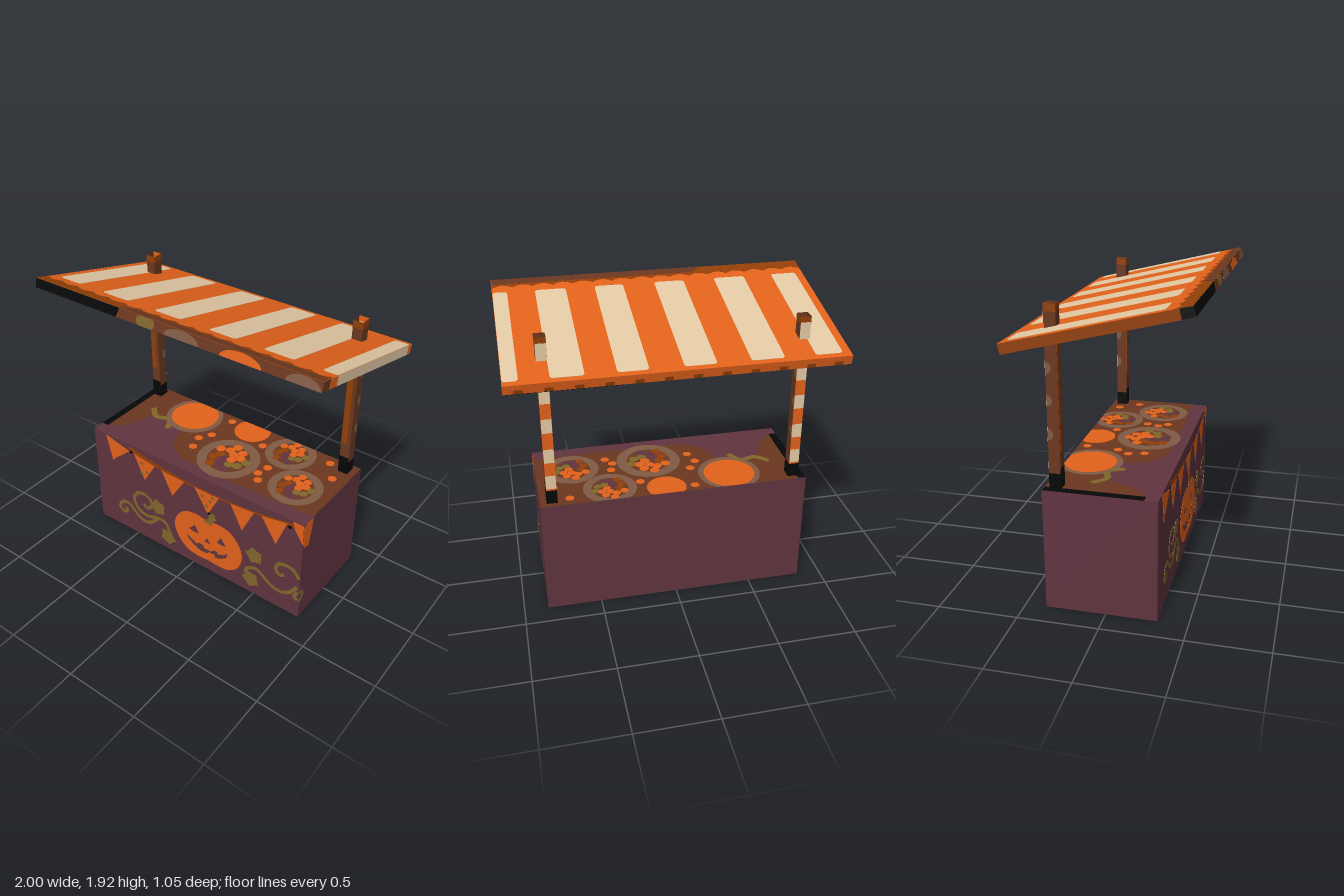
import * as THREE from 'three';

const mat = (name, color, side = THREE.FrontSide) => {
  const m = new THREE.MeshStandardMaterial({ color, side });
  m.name = name;
  return m;
};

export function createModel() {
  const purple = mat('plum', 0x61343f, THREE.DoubleSide);
  const orange = mat('orange', 0xe3621b, THREE.DoubleSide);
  const cream = mat('cream', 0xe4caa5);
  const olive = mat('olive', 0x80662b);
  const brown = mat('brown', 0x6b371f, THREE.DoubleSide);
  const rust = mat('rust', 0x933f08, THREE.DoubleSide);
  const black = mat('black', 0x060708);
  const tan = mat('tan', 0x805a45);
  const burntOrange = mat('burntOrange', 0xa64610);
  const sand = mat('sand', 0xb59073);

  const root = new THREE.Group();
  const group = (name, parent = root) => {
    const g = new THREE.Group();
    g.name = name;
    parent.add(g);
    return g;
  };
  const mesh = (name, geo, material, parent) => {
    const m = new THREE.Mesh(geo, material);
    m.name = name;
    parent.add(m);
    return m;
  };
  const box = (name, size, pos, material, parent) => {
    const m = mesh(name, new THREE.BoxGeometry(...size), material, parent);
    m.position.set(...pos);
    return m;
  };
  // Box with some sides left out (order: +x -x +y -y +z -z)
  const openBox = (name, size, pos, material, parent, missing) => {
    const m = box(name, size, pos, material, parent);
    m.geometry.groups = m.geometry.groups.filter((g) => !missing.includes(g.materialIndex));
    return m;
  };
  // Thin painted plate, centred on its own plane
  const plate = (name, shape, material, parent, depth = 0.003) => {
    const geo = new THREE.ExtrudeGeometry(shape, { depth, bevelEnabled: false, curveSegments: 8 });
    geo.translate(0, 0, -depth / 2);
    return mesh(name, geo, material, parent);
  };
  const v2 = (pts) => pts.map(([x, y]) => new THREE.Vector2(x, y));
  const poly = (pts) => new THREE.Shape(v2(pts));
  const smooth = (pts) => new THREE.Shape(new THREE.SplineCurve(v2([...pts, pts[0]])).getPoints(64));
  // Disc cut off at a lower limit
  const disc = (x, y, r, min = -Infinity) => poly(Array.from({ length: 28 }, (_, i) => {
    const a = i * Math.PI / 14;
    return [x + r * Math.cos(a), Math.max(min, y + r * Math.sin(a))];
  }));
  const roundRect = (x0, x1, y0, y1, r = 0.02) => {
    const s = new THREE.Shape();
    s.absarc(x0 + r, y0 + r, r, Math.PI, Math.PI * 1.5);
    s.absarc(x1 - r, y0 + r, r, -Math.PI / 2, 0);
    s.absarc(x1 - r, y1 - r, r, 0, Math.PI / 2);
    s.absarc(x0 + r, y1 - r, r, Math.PI / 2, Math.PI);
    return s;
  };
  // Ribbon of constant width along a curve
  const stroke = (pts, w) => {
    const curve = new THREE.SplineCurve(v2(pts));
    const a = [], b = [];
    for (let i = 0; i <= 50; i++) {
      const p = curve.getPoint(i / 50), t = curve.getTangent(i / 50);
      a.push([p.x - t.y * w / 2, p.y + t.x * w / 2]);
      b.unshift([p.x + t.y * w / 2, p.y - t.x * w / 2]);
    }
    return poly([...a, ...b]);
  };

  // Counter: open-bottomed box
  const X = 0.846, TOP = 0.77, FRONT = 0.315, BACK = -0.37;
  const counter = group('counter');
  openBox('counterBody', [X * 2, TOP, FRONT - BACK], [0, TOP / 2, (FRONT + BACK) / 2], Array(6).fill(purple), counter, [3]);

  // Front paintings
  const art = group('frontPainting', counter);
  art.position.z = FRONT;
  const pumpkin = smooth([[.125, .43], [.2, .445], [.3, .43], [.375, .36], [.405, .26], [.37, .15], [.29, .09],
    [.2, .08], [.125, .085], [.04, .08], [-.05, .1], [-.12, .17], [-.155, .27], [-.12, .37], [-.05, .43], [.04, .445]]);
  for (const hole of [
    [[-.03, .29], [.01, .28], [.055, .285], [.02, .345]],
    [[.2, .285], [.24, .28], [.275, .29], [.235, .345]],
    [[.095, .24], [.15, .24], [.123, .28]],
    [[-.05, .235], [-.01, .205], [.04, .185], [.05, .205], [.09, .2], [.09, .18], [.16, .18], [.17, .2], [.2, .205],
      [.21, .185], [.26, .205], [.29, .235], [.28, .19], [.23, .155], [.19, .14], [.18, .165], [.13, .16], [.12, .14],
      [.06, .14], [.01, .16], [-.04, .2]],
  ]) pumpkin.holes.push(new THREE.Path(v2(hole)));
  plate('pumpkin', pumpkin, orange, art);
  plate('pumpkinStem', poly([[.09, .415], [.16, .41], [.17, .45], [.2, .47], [.18, .515], [.13, .505], [.14, .465]]),
    olive, art, 0.005);
  plate('stemTip', disc(.14, .505, .01), black, art, 0.006);

  // Vines and blunt-lobed leaves
  for (const path of [
    [[-.43, .3], [-.4, .28], [-.36, .31], [-.365, .365], [-.42, .39], [-.48, .375], [-.515, .32], [-.5, .255],
      [-.455, .215], [-.385, .21], [-.31, .235], [-.245, .23], [-.21, .18], [-.205, .13]],
    [[-.6, .19], [-.595, .155], [-.63, .14], [-.66, .17], [-.63, .225], [-.565, .235], [-.515, .19], [-.46, .15],
      [-.385, .155], [-.31, .225]],
    [[.73, .3], [.69, .285], [.665, .325], [.69, .375], [.76, .39], [.81, .365], [.835, .325]],
    [[.43, .155], [.45, .2], [.515, .23], [.57, .2], [.635, .155], [.71, .145], [.775, .18], [.825, .25]],
    [[.832, .14], [.81, .165], [.832, .21]],
  ]) plate('vine', stroke(path, 0.026), olive, art);
  for (const [x, y, turn] of [[-.3, .335, .3], [-.22, .11, 3.3], [.5, .335, .3], [.475, .12, 3]]) {
    const pts = [];
    for (let i = 0; i < 10; i++) {
      const a = turn + Math.PI / 2 + i * Math.PI / 5, r = i % 2 ? 0.052 : 0.069;
      pts.push([x + r * Math.cos(a), y + r * Math.sin(a)]);
    }
    plate('leaf', poly(pts), olive, art, 0.004);
  }

  // Bunting
  const garland = new THREE.Shape().moveTo(-.53, .755);
  garland.quadraticCurveTo(.13, .6, .8, .755).lineTo(.8, .725).quadraticCurveTo(.13, .61, -.53, .71);
  plate('garland', garland, rust, art, 0.002);
  for (const f of [
    [[-.735, .762], [-.53, .71], [-.66, .6], [-.69, .565]], [[-.49, .71], [-.31, .68], [-.405, .525]],
    [[-.25, .675], [-.06, .67], [-.165, .505]], [[.025, .67], [.22, .67], [.13, .495]],
    [[.31, .675], [.49, .69], [.4, .5]], [[.545, .695], [.73, .73], [.655, .525]],
    [[.77, .765], [.844, .765], [.844, .62], [.785, .71]],
  ]) plate('flag', poly(f), orange, art, 0.004);
  for (const [x, y] of [[-.42, .66], [-.38, .6], [-.43, .58], [.09, .63], [.15, .61], [.12, .56], [.17, .65]])
    plate('flagDot', disc(x, y, 0.013), olive, art, 0.006);
  for (const x of [-.515, .75]) plate('flagKnot', disc(x, .712, 0.012), black, art, 0.006);

  // Paintings that wrap onto the left side (drawn with -z as the shape's x)
  const wrap = group('sidePainting', counter);
  wrap.position.set(X, 0, FRONT);
  wrap.rotation.y = Math.PI / 2;
  plate('sideFlag', poly([[0, .762], [.105, .765], [.095, .7], [.065, .575], [.02, .585], [0, .62]]), orange, wrap);
  plate('sideVine', new THREE.Shape().absarc(0, .18, .052, -Math.PI / 2, Math.PI / 2)
    .absarc(0, .18, .024, Math.PI / 2, -Math.PI / 2, true), olive, wrap);

  // Tabletop with plates of food (shape y is z)
  const EDGE = BACK + 0.003;
  const table = group('tabletop', counter);
  table.position.y = TOP;
  table.rotation.x = Math.PI / 2;
  plate('tableSurface', poly([[-.8, EDGE], [.844, EDGE], [.844, .21], [.4, .23], [-.15, .23], [-.3, .14], [-.36, -.03],
    [-.5, -.1], [-.62, -.04], [-.7, .15], [-.8, .24]]), brown, table, 0.002);
  box('sideTrim', [0.05, 0.6, 0.003], [-X + 0.026, -0.067, 0], black, table);
  plate('tableStalk', stroke([[-.68, -.12], [-.6, -.05], [-.5, -.07], [-.44, .02]], 0.04), olive, table, 0.004);
  for (const [x, z, r] of [[.1, .05, .21], [.61, .04, .175], [.4, -.235, .17]]) {
    plate('servingPlate', disc(x, z, r, EDGE), tan, table, 0.004);
    plate('plateCentre', disc(x, z, r * 0.68), brown, table, 0.0055);
    for (let i = 0; i < 16; i++) {
      const a = i * 2.4, d = r * 0.64 * Math.sqrt((i + 0.5) / 16);
      plate('treat', disc(x + d * Math.cos(a), z + d * Math.sin(a), r * 0.15),
        [orange, purple, orange, olive, rust][i % 5], table, 0.007);
    }
  }
  plate('pieDish', disc(-.38, -.21, .2, EDGE), tan, table, 0.004);
  plate('pie', disc(-.38, -.215, .165, EDGE), orange, table, 0.006);
  plate('smallPie', disc(.05, -.3, .125, EDGE), orange, table, 0.006);
  for (const [x, z] of [[-.2, -.02], [-.15, -.1], [-.17, .08], [.34, .06], [.38, .12], [-.13, -.31], [.2, -.2],
    [.75, -.17], [.66, -.3], [.36, -.02]])
    plate('looseTreat', disc(x, z, 0.028), orange, table, 0.004);

  // Posts: open-topped square tubes
  for (const x of [-.77, .77]) {
    const post = group('post');
    post.position.set(x, 0, -.3);
    openBox('postShaft', [.064, 1.08, .07], [0, 1.31, 0], [brown, brown, brown, brown, brown, orange], post, [2, 3]);
    openBox('postTip', [.066, .045, .072], [0, 1.828, 0], Array(6).fill(rust), post, [2, 3]);
    box('postFoot', [.067, .09, .073], [0, .817, 0], black, post);
    box('footFront', [.066, .035, .004], [0, .878, .035], black, post);
    box('postFrontPaint', [.04, .66, .004], [-.01, 1.33, .035], rust, post);
    for (const y of [.92, 1.1, 1.3, 1.49, 1.68, 1.77]) {
      box('postStripe', [.062, .09, .004], [0, y, -.035], cream, post);
      if (y > 1 && y < 1.6) for (const side of [-1, 1]) {
        const spot = plate('postSpot', new THREE.Shape().absarc(0, 0, .033, -Math.PI / 2, Math.PI / 2), tan, post, 0.002);
        spot.rotation.y = -Math.PI / 2;
        spot.position.set(side * .032, y, -.035);
      }
    }
  }

  // Tilted awning
  const awning = group('awning');
  awning.position.y = 1.763;
  awning.rotation.x = -0.241;
  const L = 0.535, H = 0.03;
  box('awningPanel', [2, H * 2, L * 2], [0, 0, 0], [cream, rust, orange, burntOrange, brown, orange], awning);
  const layer = (name, y) => {
    const g = group(name, awning);
    g.position.y = y;
    g.rotation.x = Math.PI / 2;
    return g;
  };
  const topPaint = layer('awningTopPaint', H), underPaint = layer('awningUnderPaint', -H);
  for (const [a, b] of [[-.95, -.785], [-.6, -.4], [-.2, -.01], [.19, .37], [.55, .74], [.91, .998]])
    plate('topStripe', roundRect(a, b, -.5, .385), cream, topPaint);
  for (const [a, b] of [[-.78, -.59], [-.39, -.19], [0, .2], [.395, .59], [.83, .998]])
    plate('underStripe', roundRect(a, b, -.39, .51), sand, underPaint);
  // Border with scalloped lobes hanging over it
  const border = (sign) => {
    const pts = [[-.998, sign * .533]];
    for (let i = 0; i <= 96; i++) {
      const u = i / 96;
      pts.push([-.998 + 1.996 * u, sign * (.437 + .026 * Math.abs(Math.sin(u * Math.PI * 16)))]);
    }
    return poly([...pts, [.998, sign * .533]]);
  };
  plate('topBorder', border(1), rust, topPaint);
  plate('underBorder', border(-1), brown, underPaint);
  plate('topBorderShade', poly([[-.34, .533], [-.27, .475], [.998, .475], [.998, .533]]), brown, topPaint, 0.005);
  box('underEdge', [.65, .02, .006], [.67, -.524, 0], black, underPaint);
  // Painted front edge
  const dome = (a, b) => new THREE.Shape().absellipse((a + b) / 2, -.029, (b - a) / 2, .056, 0, Math.PI);
  for (const [shape, m] of [
    [poly([[-.999, -.029], [-.35, -.029], [-.33, .029], [-.999, .029]]), black],
    [roundRect(-.2, -.07, -.029, .029, .025), olive],
    [dome(0, .24), tan], [dome(.38, .645), orange], [dome(.79, .999), tan],
  ]) plate('frontEdgePatch', shape, m, awning).position.z = L;
  // Painted side and back edges
  for (const [a, b, m] of [[.46, .534, brown], [.38, .46, orange], [-.534, -.49, orange]])
    box('leftEdgePatch', [.004, .058, b - a], [1 - .001, 0, (a + b) / 2], m, awning);
  box('rightEdgePatch', [.004, .058, .07], [-.999, 0, .499], black, awning);
  for (let i = 0; i < 12; i++)
    box('backEdgePatch', [.05, .025, .004], [-.92 + i * .167, -.016, -L], rust, awning);

  return root;
}
